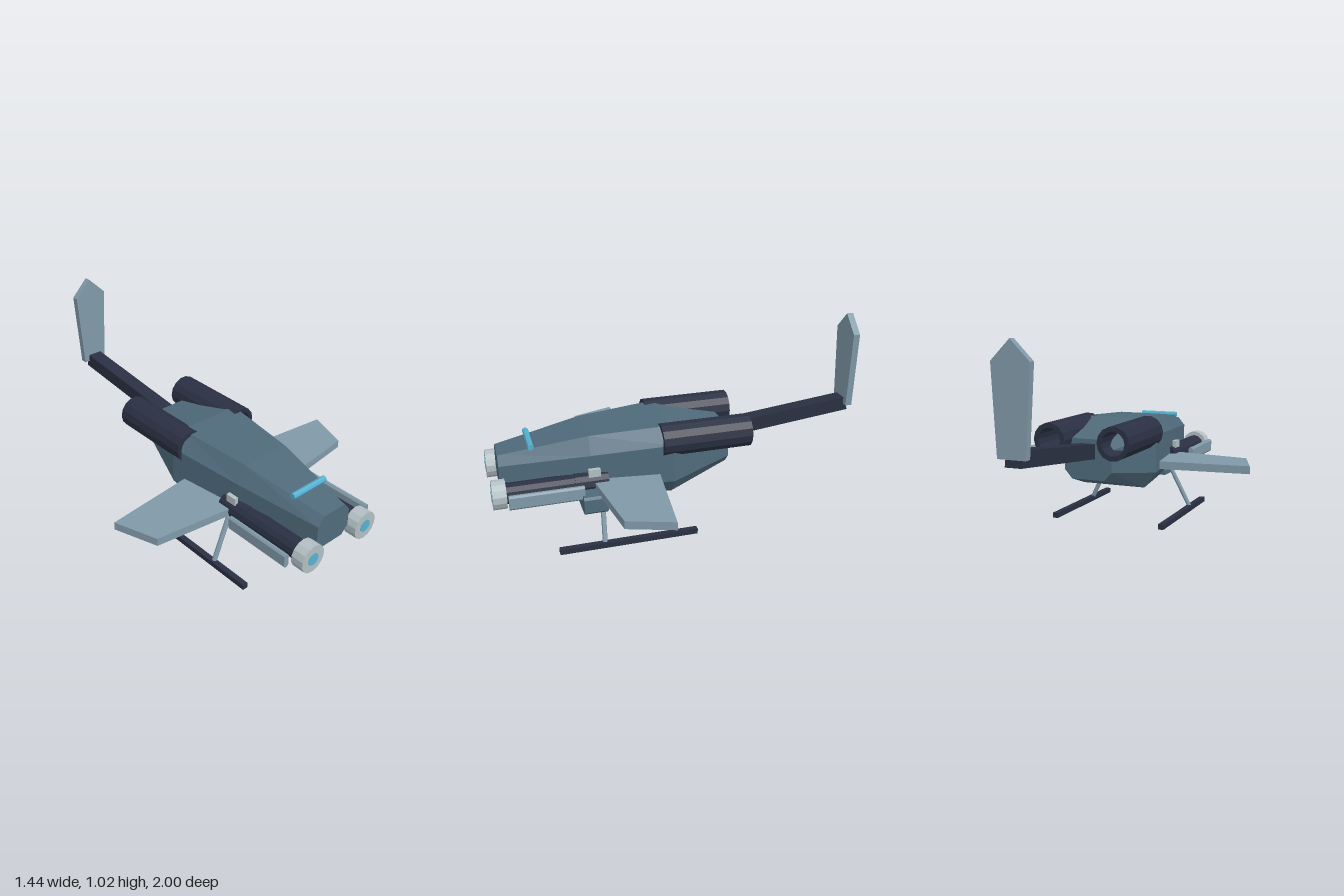
import * as THREE from 'three';

const mat = (name, color) => {
  const m = new THREE.MeshStandardMaterial({ color });
  m.name = name;
  return m;
};

export function createModel() {
  const model = new THREE.Group();
  model.name = 'gunship';
  const body = mat('slate blue', 0x4f6a7b);
  const light = mat('pale blue grey', 0x8099a8);
  const dark = mat('dark navy', 0x2a3042);
  const metal = mat('light metal', 0xb2bfc3);
  const cyan = mat('cyan glow', 0x55b1d0);

  // Every part is faceted, so unshare vertices before computing normals
  const add = (name, geo, material, x = 0, y = 0, z = 0) => {
    const flat = geo.index ? geo.toNonIndexed() : geo;
    flat.computeVertexNormals();
    const mesh = new THREE.Mesh(flat, material);
    mesh.name = name;
    mesh.position.set(x, y, z);
    model.add(mesh);
    return mesh;
  };
  const box = (w, h, d) => new THREE.BoxGeometry(w, h, d);
  const rod = (r, len, n) => new THREE.CylinderGeometry(r, r, len, n).rotateX(Math.PI / 2);
  const shape = (pts) => new THREE.Shape(pts.map(([x, y]) => new THREE.Vector2(x, y)));
  const extrude = (s, depth) => new THREE.ExtrudeGeometry(s, { depth, bevelEnabled: false, curveSegments: 7 });

  // Fuselage: octagonal cross-sections, nose to tail
  // z, half width, half width of top and bottom edge, y bottom, low, high, top
  const sections = [
    [0.95, 0.108, 0.07, 0.295, 0.335, 0.43, 0.475],
    [0.5, 0.19, 0.135, 0.212, 0.29, 0.465, 0.55],
    [0.08, 0.245, 0.178, 0.2, 0.287, 0.49, 0.573],
    [-0.25, 0.13, 0.09, 0.29, 0.335, 0.45, 0.5],
  ].map(([z, w, e, b, l, h, t]) => [
    [w, l, z], [w, h, z], [e, t, z], [-e, t, z], [-w, h, z], [-w, l, z], [-e, b, z], [e, b, z],
  ]);
  const verts = [];
  const tri = (...p) => p.forEach((v) => verts.push(...v));
  for (let s = 0; s < sections.length - 1; s++) {
    const a = sections[s], b = sections[s + 1];
    for (let i = 0; i < 8; i++) {
      const j = (i + 1) % 8;
      tri(a[i], b[i], a[j]);
      tri(a[j], b[i], b[j]);
    }
  }
  const nose = sections[0], rear = sections[sections.length - 1];
  for (let i = 1; i < 7; i++) {
    tri(nose[0], nose[i], nose[i + 1]);
    tri(rear[0], rear[i + 1], rear[i]);
  }
  const hull = new THREE.BufferGeometry();
  hull.setAttribute('position', new THREE.Float32BufferAttribute(verts, 3));
  add('fuselage', hull, body);

  // Sensor bar across the nose
  add('sensorBar', rod(0.016, 0.22, 8).rotateY(Math.PI / 2), cyan, 0, 0.514, 0.785);

  // Tail boom and fin
  const boom = add('tailBoom', box(0.08, 0.077, 0.84), dark, 0, 0.472, -0.567);
  boom.rotation.x = Math.atan2(0.08, 0.74);
  add('tailFin', extrude(shape([[-0.07, 0.515], [0.07, 0.515], [0.095, 0.93], [0, 1.025], [-0.095, 0.93]]), 0.036),
    light, 0, 0, -1);

  for (const s of [1, -1]) {
    const side = s > 0 ? 'left' : 'right';

    // Wing: planform drawn in x and -z, then laid flat
    const plan = [[0.1, -0.51], [0.64, -0.44], [0.72, -0.21], [0.1, -0.14]].map(([x, y]) => [x * s, y]);
    add(side + 'Wing', extrude(shape(plan), 0.042).rotateX(-Math.PI / 2), light, 0, 0.293, 0);

    // Open engine tube
    const ring = new THREE.Shape().absarc(0, 0, 0.087, 0, Math.PI * 2);
    ring.holes.push(new THREE.Path().absarc(0, 0, 0.062, 0, Math.PI * 2, true));
    add(side + 'Engine', extrude(ring, 0.475), dark, s * 0.175, 0.497, -0.338);

    // Cannon
    add(side + 'CannonBarrel', rod(0.052, 0.5, 12), dark, s * 0.183, 0.318, 0.69);
    add(side + 'CannonBreech', rod(0.057, 0.17, 12), dark, s * 0.183, 0.318, 0.505);
    add(side + 'CannonMuzzle', rod(0.074, 0.068, 14), metal, s * 0.183, 0.318, 0.964);
    add(side + 'CannonGlow', rod(0.033, 0.006, 12), cyan, s * 0.183, 0.318, 0.998);
    add(side + 'CannonClip', box(0.022, 0.04, 0.06), metal, s * 0.212, 0.382, 0.49);

    // Slim outboard gun with a tall chamfered section
    const gun = shape([[-0.014, -0.028], [-0.006, -0.037], [0.006, -0.037], [0.014, -0.028],
      [0.014, 0.028], [0.006, 0.037], [-0.006, 0.037], [-0.014, 0.028]]);
    add(side + 'OutboardGun', extrude(gun, 0.37), light, s * 0.281, 0.315, 0.555);

    // Landing skid and strut
    add(side + 'Skid', box(0.03, 0.028, 0.72), dark, s * 0.31, 0.02, 0.34);
    const foot = new THREE.Vector3(s * 0.305, 0.03, 0.468);
    const top = new THREE.Vector3(s * 0.185, 0.27, 0.45);
    const dir = top.clone().sub(foot);
    const strut = add(side + 'Strut', new THREE.CylinderGeometry(0.013, 0.013, dir.length(), 8), light);
    strut.position.copy(foot).add(top).multiplyScalar(0.5);
    strut.quaternion.setFromUnitVectors(new THREE.Vector3(0, 1, 0), dir.normalize());
  }

  // Equipment pod under the left wing, with chamfered outer corners
  const pod = shape([[0.17, 0.212], [0.318, 0.212], [0.33, 0.224], [0.33, 0.293], [0.318, 0.305], [0.17, 0.305]]);
  add('equipmentPod', extrude(pod, 0.12), body, 0, 0, 0.448);
  // Small belly panel
  add('bellyPanel', box(0.13, 0.025, 0.1), body, -0.105, 0.217, 0.48);

  return model;
}
